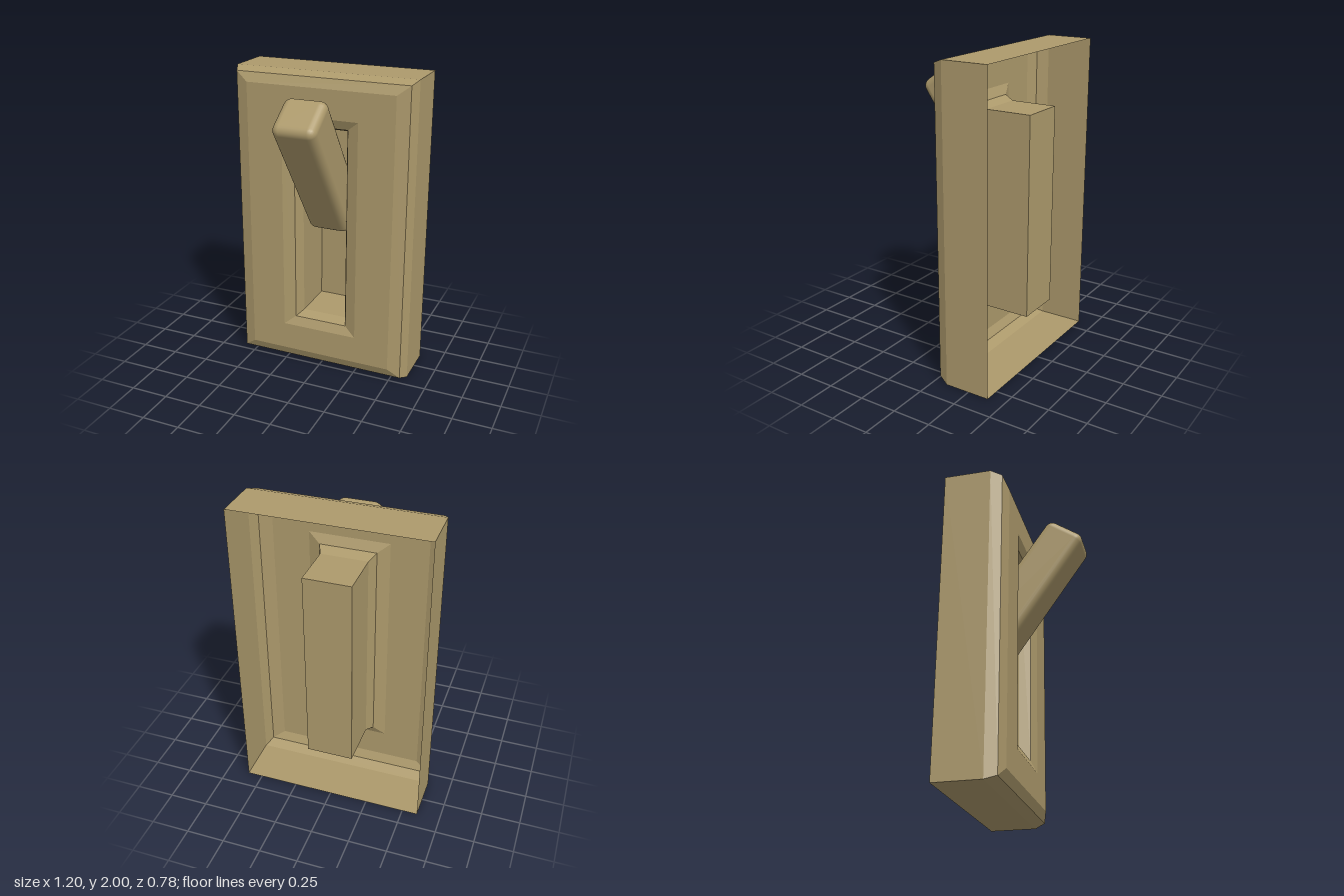
import * as THREE from 'three';
import { RoundedBoxGeometry } from 'three/addons/geometries/RoundedBoxGeometry.js';

// Flat-faced shell through rectangular rings [halfWidth, halfHeight, z], optionally closed at the end
function ringShell(rings, closed) {
  const corners = ([w, h, z]) => [[-w, 1 - h, z], [w, 1 - h, z], [w, 1 + h, z], [-w, 1 + h, z]];
  const pos = [];
  const quad = (a, b, c, d) => pos.push(...a, ...b, ...c, ...a, ...c, ...d);
  for (let r = 0; r < rings.length - 1; r++) {
    const a = corners(rings[r]);
    const b = corners(rings[r + 1]);
    for (let i = 0; i < 4; i++) {
      const j = (i + 1) % 4;
      quad(a[i], a[j], b[j], b[i]);
    }
  }
  if (closed) quad(...corners(rings[rings.length - 1]));
  const geo = new THREE.BufferGeometry();
  geo.setAttribute('position', new THREE.Float32BufferAttribute(pos, 3));
  geo.computeVertexNormals();
  return geo;
}

export function createModel() {
  const group = new THREE.Group();
  group.name = 'toggleSwitch';
  const tan = new THREE.MeshStandardMaterial({ color: 0xad9a6c, side: THREE.DoubleSide });
  tan.name = 'tan';

  const add = (name, geo) => {
    const mesh = new THREE.Mesh(geo, tan);
    mesh.name = name;
    group.add(mesh);
    return mesh;
  };

  // Hollow cover, open at the back, with two bevels around the front
  add('coverPlate', ringShell([
    [0.6, 1, -0.39], [0.6, 1, -0.09], [0.57, 0.975, -0.02],
    [0.49, 0.915, 0.006], [0.255, 0.73, 0.006],
  ], false));

  // Bevelled slot leading into a closed box
  add('slotRecess', ringShell([
    [0.255, 0.73, 0.006], [0.18, 0.67, -0.02], [0.15, 0.645, -0.09], [0.15, 0.645, -0.39],
  ], true));

  // Lever tipped forwards and up
  const lever = add('lever', new RoundedBoxGeometry(0.28, 1, 0.28, 3, 0.05));
  lever.position.set(0, 1.415, 0.012);
  lever.rotation.x = THREE.MathUtils.degToRad(35);

  return group;
}
